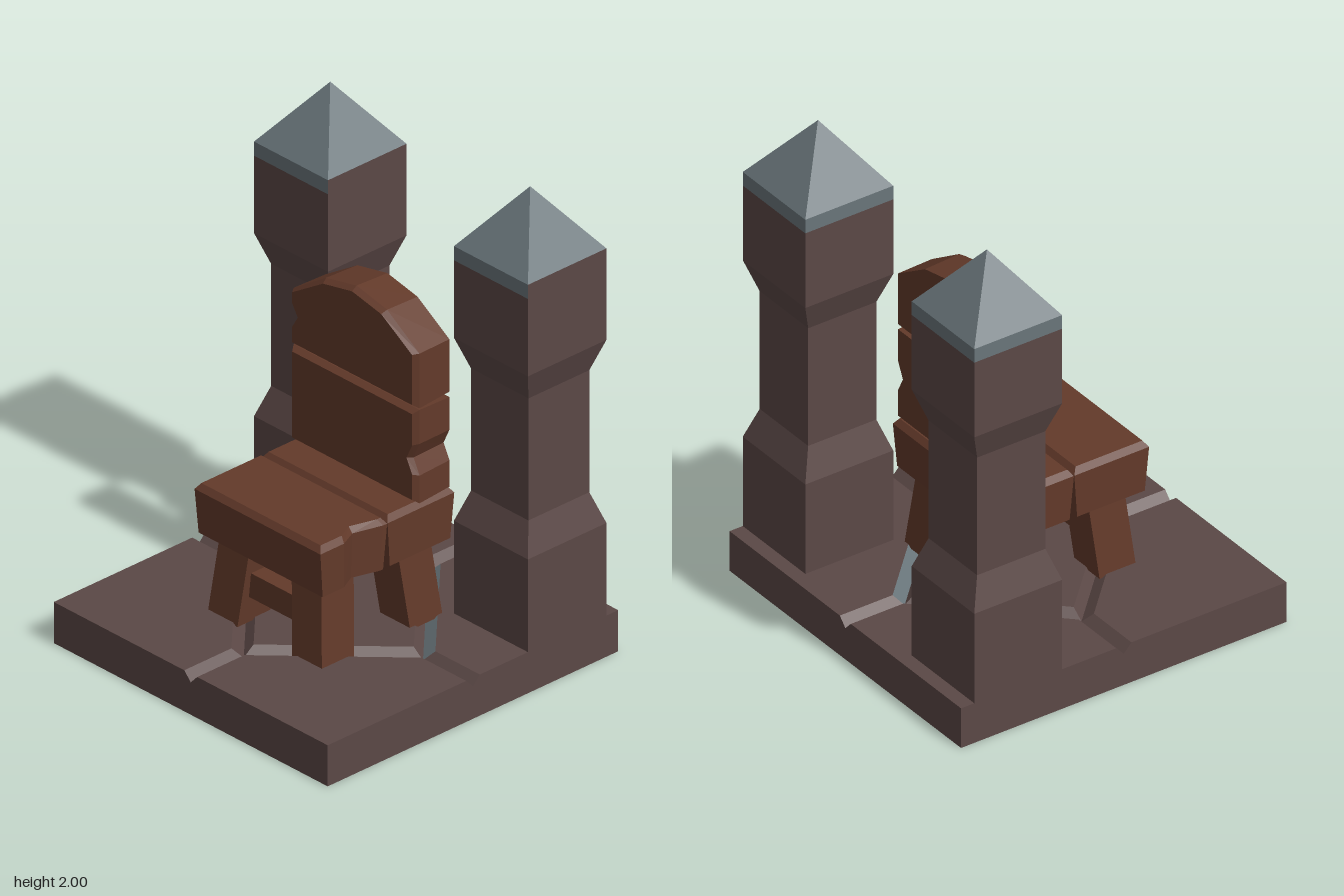
import * as THREE from 'three';

const mat = (name, color) => {
  const m = new THREE.MeshStandardMaterial({ color, side: THREE.DoubleSide });
  m.name = name;
  return m;
};

function flat(geo) {
  const g = geo.index ? geo.toNonIndexed() : geo;
  g.computeVertexNormals();
  return g;
}

// Flat-shaded geometry from convex corner loops
function fromPolys(polys) {
  const pos = [];
  for (const p of polys)
    for (let i = 1; i < p.length - 1; i++) pos.push(...p[0], ...p[i], ...p[i + 1]);
  const g = new THREE.BufferGeometry();
  g.setAttribute('position', new THREE.Float32BufferAttribute(pos, 3));
  g.computeVertexNormals();
  return g;
}

// Plank: counter-clockwise outline swept along z through rings [z, insetX, insetY]
function plank(outline, rings) {
  const box = new THREE.Box2().setFromPoints(outline.map(([x, y]) => new THREE.Vector2(x, y)));
  const c = box.getCenter(new THREE.Vector2()), s = box.getSize(new THREE.Vector2());
  const loops = rings.map(([z, ix, iy]) => outline.map(([x, y]) => [
    c.x + (x - c.x) * (1 - 2 * ix / s.x), c.y + (y - c.y) * (1 - 2 * iy / s.y), z]));
  const polys = [];
  const n = outline.length;
  for (let r = 0; r < loops.length - 1; r++)
    for (let i = 0; i < n; i++) {
      const j = (i + 1) % n;
      polys.push([loops[r][i], loops[r][j], loops[r + 1][j], loops[r + 1][i]]);
    }
  const tris = THREE.ShapeUtils.triangulateShape(outline.map(([x, y]) => new THREE.Vector2(x, y)), []);
  const last = loops[loops.length - 1];
  for (const [a, b, d] of tris) {
    polys.push([last[a], last[b], last[d]]);
    polys.push([loops[0][d], loops[0][b], loops[0][a]]);
  }
  return fromPolys(polys);
}

export function createModel() {
  const model = new THREE.Group();
  const stone = mat('stone', 0x5b4846);
  const slate = mat('slate', 0x69757a);
  const wood = mat('wood', 0x633a2a);

  const add = (name, geo, material, parent = model) => {
    const m = new THREE.Mesh(geo, material);
    m.name = name;
    parent.add(m);
    return m;
  };

  // Floor slab: open underneath, cut by V-grooves forming a diamond and a cross
  const E = 0.74, h = 0.175, b = 0.138, c = 0.035;
  const stonePolys = [], slatePolys = [];
  for (const sx of [1, -1]) for (const sz of [1, -1]) {
    const put = (list, poly) => {
      const p = poly.map(([x, y, z]) => [x * sx, y, z * sz]);
      list.push(sx * sz < 0 ? p.reverse() : p);
    };
    // corner paving
    put(stonePolys, [[c, h, E], [E, h, E], [E, h, c], [0.5, h, c], [c, h, 0.5]]);
    // groove walls, the rear outer ones slate
    put(sz < 0 ? slatePolys : stonePolys, [[c, h, 0.5], [0.5, h, c], [0.47, b, 0], [0, b, 0.47]]);
    put(stonePolys, [[c, h, E], [c, h, 0.5], [0, b, 0.47], [0, b, E]]);
    put(stonePolys, [[0.5, h, c], [E, h, c], [E, b, 0], [0.47, b, 0]]);
    put(stonePolys, [[0, b, 0.47], [0.47, b, 0], [0.42, h, 0], [0, h, 0.42]]);
    // centre diamond
    put(stonePolys, [[0, h, 0], [0, h, 0.42], [0.42, h, 0]]);
    // outer sides
    put(stonePolys, [[0, 0, E], [E, 0, E], [E, h, E], [c, h, E], [0, b, E]]);
    put(stonePolys, [[E, 0, E], [E, 0, 0], [E, b, 0], [E, h, c], [E, h, E]]);
  }
  add('floorSlab', fromPolys(stonePolys), stone);
  add('floorGroove', fromPolys(slatePolys), slate);

  // Pillars with waisted shafts and pyramid caps
  const shaft = [[0.2, 0.17], [0.2, 0.57], [0.155, 0.7], [0.155, 1.22], [0.2, 1.35], [0.2, 1.68]]
    .map(([r, y]) => new THREE.Vector2(r * Math.SQRT2, y));
  for (const s of [1, -1]) {
    const pillar = new THREE.Group();
    pillar.name = s > 0 ? 'leftPillar' : 'rightPillar';
    pillar.position.set(s * 0.54, 0, -0.48);
    add('shaft', flat(new THREE.LatheGeometry(shaft, 4, Math.PI / 4)), stone, pillar);
    add('capBand', new THREE.BoxGeometry(0.4, 0.06, 0.4),
      [stone, slate, slate, slate, slate, slate], pillar).position.y = 1.71;
    const roof = new THREE.ConeGeometry(0.2 * Math.SQRT2, 0.26, 4, 1, true, Math.PI / 4);
    add('roof', flat(roof), slate, pillar).position.y = 1.87;
    model.add(pillar);
  }

  const chair = new THREE.Group();
  chair.name = 'chair';
  model.add(chair);

  // Seat planks, outlines drawn as (x, -z)
  const seatRings = [[0.5, 0.005, 0.016], [0.69, 0, 0], [0.715, 0.018, 0.018]];
  const seatFront = [[-0.34, -0.4], [0.34, -0.4], [0.34, -0.28], [0.305, -0.205], [0.34, -0.08],
    [0.34, -0.06], [-0.34, -0.06]];
  const seatBack = [[-0.34, -0.058], [0.34, -0.058], [0.34, 0.282], [-0.34, 0.282]];
  add('seatFrontPlank', plank(seatFront, seatRings).rotateX(-Math.PI / 2), wood, chair);
  add('seatBackPlank', plank(seatBack, seatRings).rotateX(-Math.PI / 2), wood, chair);

  // Backrest planks with chipped sides
  const backRings = [[-0.262, 0.005, 0.008], [-0.105, 0, 0], [-0.082, 0.016, 0.016]];
  const lower = [[-0.34, 0.712], [0.34, 0.712], [0.34, 0.83], [0.308, 0.895], [0.34, 0.965],
    [0.34, 1.11], [-0.34, 1.11]];
  const upper = [[-0.34, 1.117], [0.34, 1.117], [0.34, 1.35], [0.165, 1.465], [0, 1.5],
    [-0.165, 1.465], [-0.34, 1.35], [-0.34, 1.3], [-0.308, 1.245], [-0.34, 1.19]];
  add('backrestLowerPlank', plank(lower, backRings), wood, chair);
  add('backrestUpperPlank', plank(upper, backRings), wood, chair);

  // Splayed legs
  const leg = (name, s, zTop, zBottom) => {
    const g = new THREE.BoxGeometry(0.16, 0.34, 0.165);
    const p = g.attributes.position;
    for (let i = 0; i < p.count; i++) {
      const top = p.getY(i) > 0;
      p.setXYZ(i, p.getX(i) + s * (top ? 0.193 : 0.228), p.getY(i) + 0.335,
        p.getZ(i) + (top ? zTop : zBottom));
    }
    add(name, flat(g), wood, chair);
  };
  for (const s of [1, -1]) {
    leg('frontLeg', s, 0.25, 0.28);
    leg('backLeg', s, -0.137, -0.17);
  }

  // Stretcher between the front legs
  add('stretcher', new THREE.BoxGeometry(0.32, 0.105, 0.1), wood, chair).position.set(0, 0.333, 0.265);

  return model;
}
